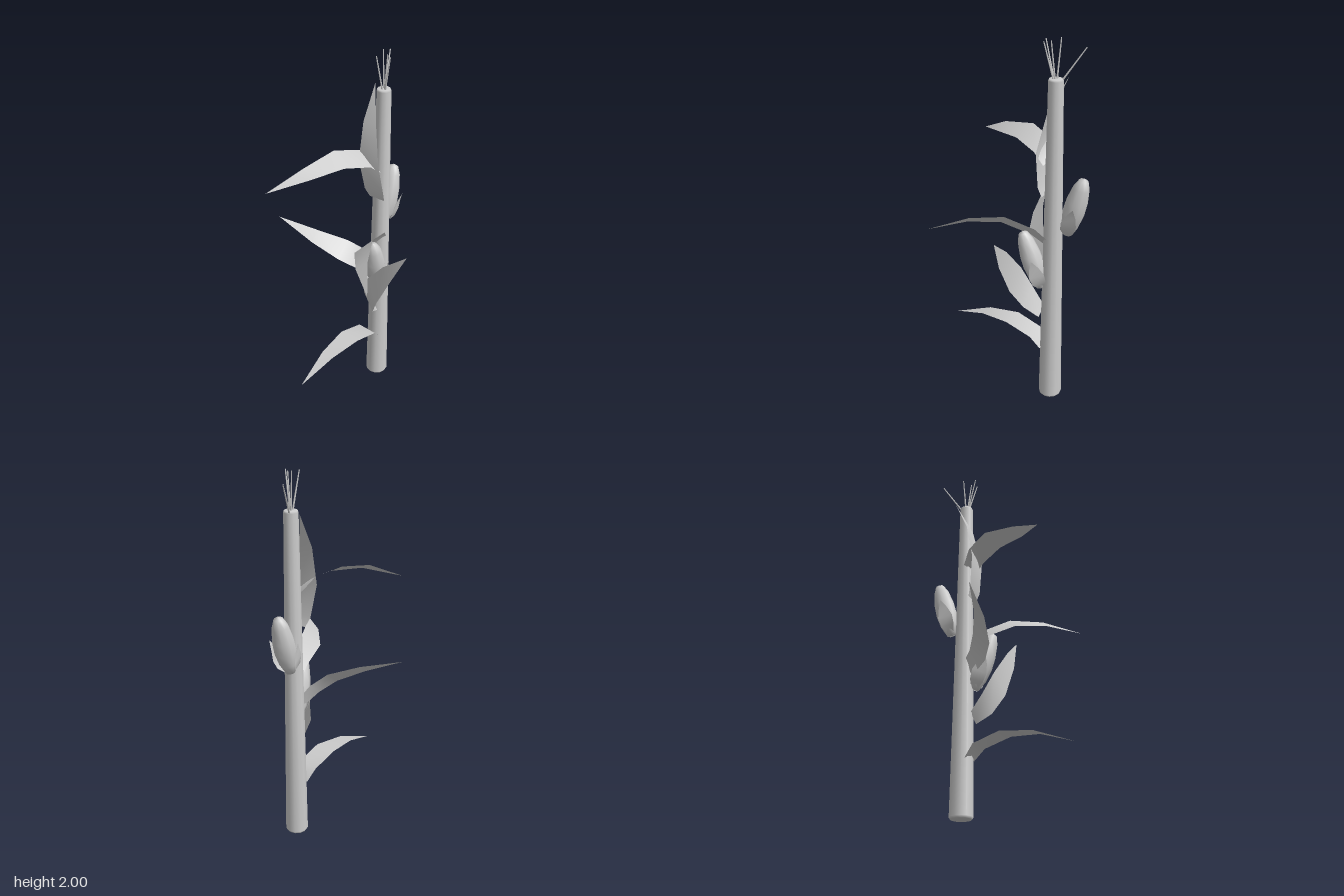
import * as THREE from 'three';

const stemMat = new THREE.MeshStandardMaterial({ color: 0xcccccc });
const leafMat = new THREE.MeshStandardMaterial({ color: 0xcccccc, side: THREE.DoubleSide });
const V = (p) => new THREE.Vector3(...p);

// Pointed blade: five centre points, widened along one side direction
function blade(name, centres, side, widths = [0.045, 0.058, 0.06, 0.038, 0]) {
  const dir = V(side).normalize();
  const pos = [], index = [];
  centres.forEach((c, i) => {
    for (const s of [-1, 1]) pos.push(...V(c).addScaledVector(dir, s * widths[i]).toArray());
    if (i) {
      const k = 2 * i;
      index.push(k - 2, k - 1, k);
      if (widths[i] > 0) index.push(k - 1, k + 1, k);
    }
  });
  const g = new THREE.BufferGeometry();
  g.setAttribute('position', new THREE.Float32BufferAttribute(pos, 3));
  g.setIndex(index);
  g.computeVertexNormals();
  const mesh = new THREE.Mesh(g, leafMat);
  mesh.name = name;
  return mesh;
}

// Thin tapered rod between two points
function rod(name, from, to, r0, r1, sides) {
  const a = V(from), b = V(to), d = b.clone().sub(a);
  const mesh = new THREE.Mesh(new THREE.CylinderGeometry(r1, r0, d.length(), sides), stemMat);
  mesh.position.copy(a).add(b).multiplyScalar(0.5);
  mesh.quaternion.setFromUnitVectors(new THREE.Vector3(0, 1, 0), d.normalize());
  mesh.name = name;
  return mesh;
}

// Ear with two husk leaves hugging its lower half
function ear(name, from, to, turn) {
  const group = new THREE.Group();
  group.name = name;
  const profile = [[0, 0], [0.027, 0.004], [0.047, 0.06], [0.057, 0.13], [0.055, 0.2],
    [0.042, 0.28], [0.024, 0.325], [0, 0.335]].map(([r, y]) => new THREE.Vector2(r, y));
  const cob = new THREE.Mesh(new THREE.LatheGeometry(profile, 9), stemMat);
  cob.name = 'cob';
  group.add(cob);
  for (const s of [-1, 1]) {
    group.add(blade('husk', [[0.012 * s, 0, 0], [0.047 * s, 0.04, 0], [0.06 * s, 0.09, 0],
      [0.065 * s, 0.14, 0], [0.078 * s, 0.19, 0]], [0, 0, s], [0.015, 0.035, 0.04, 0.025, 0]));
  }
  const axis = V(to).sub(V(from)).normalize();
  group.position.set(...from);
  group.quaternion.setFromUnitVectors(new THREE.Vector3(0, 1, 0), axis);
  group.rotateY(turn);
  return group;
}

export function createModel() {
  const model = new THREE.Group();
  model.name = 'cornPlant';

  // Tapered stalk with softened ends
  const stalkProfile = [[0, 0], [0.055, 0], [0.062, 0.012], [0.037, 1.8], [0.033, 1.81], [0, 1.81]]
    .map(([r, y]) => new THREE.Vector2(r, y));
  const stalk = new THREE.Mesh(new THREE.LatheGeometry(stalkProfile, 12), stemMat);
  stalk.position.set(0.043, 0, -0.233);
  stalk.name = 'stalk';
  model.add(stalk);

  // Tassel strands
  for (const tip of [[-0.023, 1.96, -0.355], [0.022, 2, -0.245], [0.04, 1.99, -0.172],
    [0.07, 1.99, -0.22], [0.102, 1.99, -0.2]]) {
    const root = [0.043 + (tip[0] - 0.043) * 0.15, 1.79, -0.233 + (tip[2] + 0.233) * 0.15];
    model.add(rod('tasselStrand', root, tip, 0.005, 0.003, 5));
  }

  // Long leaves
  model.add(
    blade('lowFrontLeaf', [[0.045, 0.3, -0.19], [0.045, 0.36, -0.135], [0.045, 0.4, 0.02],
      [0.045, 0.38, 0.2], [0.045, 0.3, 0.41]], [1, 0, 0]),
    blade('highFrontLeaf', [[0.035, 1.39, -0.2], [0.01, 1.45, -0.14], [-0.045, 1.48, 0],
      [-0.09, 1.455, 0.185], [-0.2, 1.38, 0.365]], [0.85, -0.45, 0.3]),
    blade('leftLeaf', [[0.06, 0.94, -0.21], [0.09, 1.0, -0.14], [0.135, 1.045, 0.015],
      [0.245, 1.05, 0.155], [0.405, 1.02, 0.3]], [0.035, 0.04, -0.035]),
    blade('rightLeaf', [[0.03, 0.78, -0.2], [0, 0.84, -0.12], [-0.065, 0.9, -0.055],
      [-0.205, 0.965, 0.02], [-0.405, 1.04, 0.09]], [0.1, -0.6, 0.75]),
    blade('steepLeftLeaf', [[0.06, 0.52, -0.18], [0.075, 0.59, -0.105], [0.13, 0.71, -0.06],
      [0.235, 0.875, -0.055], [0.345, 1.02, -0.08]], [0.62, -0.75, 0.1],
    [0.035, 0.06, 0.07, 0.045, 0]),
    blade('uprightLeaf', [[0.05, 1.21, -0.19], [0.045, 1.26, -0.17], [0.025, 1.43, -0.145],
      [0, 1.63, -0.18], [-0.035, 1.81, -0.26]], [1, 0, -0.1])
  );

  // Ears
  model.add(
    ear('backEar', [0.01, 1.0, -0.295], [0.005, 1.33, -0.385], 0.3),
    ear('frontEar', [0.07, 0.68, -0.185], [0.11, 1.0, -0.09], 0.6)
  );
  return model;
}
